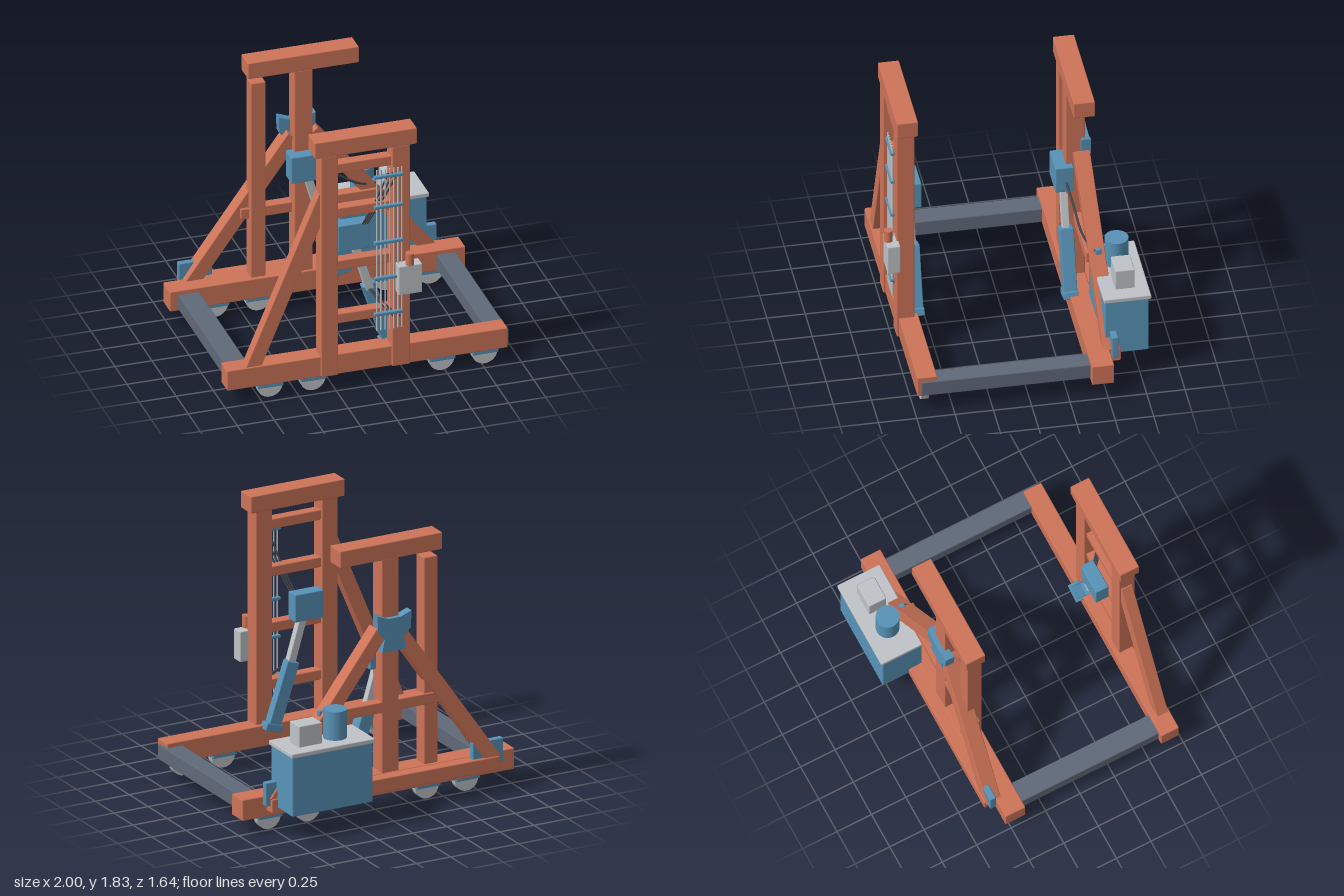
import * as THREE from 'three';
import { RoundedBoxGeometry } from 'three/addons/geometries/RoundedBoxGeometry.js';

const mat = (name, color) => {
  const m = new THREE.MeshStandardMaterial({ color });
  m.name = name;
  return m;
};

export function createModel() {
  const root = new THREE.Group();
  root.name = 'wheeledLiftingFrame';
  const orange = mat('orangePaint', 0xcd7458);
  const blue = mat('bluePaint', 0x5893b8);
  const grey = mat('lightGrey', 0xbfc3c7);
  const slate = mat('slateSteel', 0x606979);
  const dark = mat('hoseBlack', 0x45484d);

  const add = (name, geometry, material, parent = root) => {
    const mesh = new THREE.Mesh(geometry, material);
    mesh.name = name;
    parent.add(mesh);
    return mesh;
  };
  // Box given by its limits on each axis
  const box = (name, material, [x0, x1], [y0, y1], [z0, z1], parent = root) => {
    const r = Math.min(0.007, (x1 - x0) / 4, (y1 - y0) / 4, (z1 - z0) / 4);
    const m = add(name, new RoundedBoxGeometry(x1 - x0, y1 - y0, z1 - z0, 1, r), material, parent);
    m.position.set((x0 + x1) / 2, (y0 + y1) / 2, (z0 + z1) / 2);
    return m;
  };
  // Square bar running from a to b
  const strut = (name, material, a, b, width, depth, parent = root) => {
    const p = new THREE.Vector3(...a), q = new THREE.Vector3(...b);
    const m = add(name, new RoundedBoxGeometry(width, p.distanceTo(q), depth, 1, 0.006), material, parent);
    m.position.copy(p).add(q).multiplyScalar(0.5);
    m.quaternion.setFromUnitVectors(new THREE.Vector3(0, 1, 0), q.sub(p).normalize());
    return m;
  };
  const cyl = (name, material, r, h, x, y, z, parent = root, sides = 32) => {
    const m = add(name, new THREE.CylinderGeometry(r, r, h, sides), material, parent);
    m.position.set(x, y, z);
    return m;
  };
  const hose = (name, points, r, parent = root) => {
    const curve = new THREE.CatmullRomCurve3(points.map((p) => new THREE.Vector3(...p)));
    return add(name, new THREE.TubeGeometry(curve, 20, r, 6), dark, parent);
  };
  const group = (name) => {
    const g = new THREE.Group();
    g.name = name;
    root.add(g);
    return g;
  };

  // Base beams and cross ties
  box('frontBaseBeam', orange, [-0.98, 0.915], [0.11, 0.255], [0.6, 0.73]);
  box('backBaseBeam', orange, [-1, 0.995], [0.11, 0.255], [-0.54, -0.395]);
  box('rearSill', orange, [-0.85, 0.82], [0.155, 0.25], [-0.615, -0.52]);
  box('rightTie', slate, [-0.945, -0.8], [0.12, 0.225], [-0.46, 0.7]);
  box('leftTie', slate, [0.8, 0.93], [0.12, 0.225], [-0.46, 0.705]);

  // Wheels under both beams
  const wheels = group('wheels');
  for (const z of [0.668, -0.46]) {
    for (const x of [-0.68, -0.39, 0.48, 0.77]) {
      cyl('wheel', grey, 0.086, 0.05, x, 0.087, z, wheels).rotation.x = Math.PI / 2;
      box('wheelPlate', blue, [x - 0.088, x + 0.088], [0.08, 0.113], [z - 0.048, z + 0.048], wheels);
    }
  }

  // Front tower: two posts, cap, rungs, one brace
  const front = group('frontTower');
  box('post', orange, [-0.35, -0.235], [0.11, 1.715], [0.628, 0.744], front);
  box('post', orange, [0.13, 0.25], [0.11, 1.715], [0.628, 0.744], front);
  box('topBeam', orange, [-0.395, 0.295], [1.713, 1.83], [0.612, 0.75], front);
  for (const y of [0.507, 0.895, 1.278, 1.602]) {
    box('rung', orange, [-0.24, 0.135], [y - 0.035, y + 0.035], [0.645, 0.72], front);
  }
  strut('brace', orange, [-0.81, 0.22, 0.68], [-0.31, 1.42, 0.68], 0.1, 0.08, front);

  // Back tower: main post, side post, cap, rail, two splayed braces
  const back = group('backTower');
  box('mainPost', orange, [-0.155, -0.03], [0.11, 1.715], [-0.535, -0.41], back);
  box('sidePost', orange, [-0.445, -0.345], [0.2, 1.67], [-0.525, -0.42], back);
  box('topBeam', orange, [-0.47, 0.28], [1.713, 1.83], [-0.545, -0.405], back);
  box('rail', orange, [-0.5, 0.42], [0.665, 0.74], [-0.535, -0.46], back);
  strut('rightBrace', orange, [-0.83, 0.21, -0.555], [-0.14, 1.22, -0.507], 0.1, 0.105, back);
  strut('leftBrace', orange, [0.79, 0.22, -0.555], [-0.02, 1.23, -0.507], 0.095, 0.105, back);
  box('rightBracePlate', blue, [-0.89, -0.665], [0.2, 0.363], [-0.593, -0.55], back);
  box('leftBracePlate', blue, [0.63, 0.853], [0.2, 0.363], [-0.593, -0.55], back);
  // Waisted gusset where the braces meet
  const tie = new THREE.Shape([
    [-0.23, 1.345], [-0.15, 1.315], [-0.06, 1.315], [0.02, 1.345], [0.015, 1.23],
    [-0.035, 1.18], [-0.015, 1.09], [-0.19, 1.09], [-0.175, 1.18], [-0.225, 1.23],
  ].map((p) => new THREE.Vector2(...p)));
  add('gusset', new THREE.ExtrudeGeometry(tie, { depth: 0.062, bevelEnabled: false }), blue, back)
    .position.z = -0.567;

  // Pivot block and slanted ram on the inside of each tower
  const rams = [
    { name: 'frontRam', block: [0.538, 0.632], rod: 0.603, barrel: 0.59, depth: 0.065 },
    { name: 'backRam', block: [-0.455, -0.335], rod: -0.4, barrel: -0.402, depth: 0.09 },
  ];
  for (const { name, block, rod, barrel, depth } of rams) {
    const g = group(name);
    box('pivotBlock', blue, [-0.2, 0.012], [0.94, 1.13], block, g);
    strut('rod', grey, [-0.08, 0.97, rod], [0.02, 0.63, rod], 0.055, 0.05, g);
    strut('barrel', blue, [0.01, 0.665, barrel], [0.157, 0.225, barrel], 0.09, depth, g);
    strut('foot', blue, [0.145, 0.265, barrel], [0.16, 0.215, barrel], 0.125, depth + 0.008, g);
  }

  // Pipe bank with clamps and hoses
  const pipes = group('pipeBank');
  for (const x of [0.02, 0.048, 0.077, 0.106, 0.135, 0.163, 0.188]) {
    cyl('pipe', grey, 0.0055, 1.17, x, 0.985, 0.76, pipes, 8);
  }
  for (const y of [0.52, 0.78, 1.04, 1.3, 1.52]) {
    box('clamp', blue, [0, 0.197], [y - 0.011, y + 0.011], [0.747, 0.775], pipes);
  }
  for (let i = 0; i < 3; i++) {
    const x = 0.1 + i * 0.03;
    hose('upperHose', [[x, 1.54, 0.755], [x - 0.03, 1.45, 0.74], [0.02 + i * 0.02, 1.28, 0.69],
      [-0.04 + i * 0.015, 1.1, 0.62]], 0.006, pipes);
  }
  for (let i = 0; i < 2; i++) {
    hose('lowerHose', [[0.18 - i * 0.04, 0.48, 0.755], [0.12 - i * 0.03, 0.53, 0.73],
      [0.02 - i * 0.01, 0.64, 0.63]], 0.006, pipes);
  }

  // Control box with beacon
  box('controlBox', grey, [0.15, 0.31], [0.66, 0.87], [0.73, 0.815]);
  cyl('beacon', orange, 0.028, 0.085, 0.23, 0.91, 0.795);

  // Power unit with tank, lid, motor and valve box
  const unit = group('powerUnit');
  box('tank', blue, [0.185, 0.775], [0.185, 0.595], [-0.805, -0.52], unit);
  box('lid', grey, [0.175, 0.788], [0.59, 0.622], [-0.82, -0.51], unit);
  cyl('motor', blue, 0.077, 0.2, 0.385, 0.716, -0.665, unit);
  box('valveBox', grey, [0.515, 0.685], [0.615, 0.765], [-0.73, -0.603], unit);

  // Supply hose from the brace to the back pivot block
  box('hoseBracket', blue, [0.412, 0.442], [0.73, 0.77], [-0.558, -0.52]);
  hose('supplyHose', [[0.427, 0.75, -0.52], [0.3, 0.8, -0.46], [0.12, 0.92, -0.43], [-0.02, 1.04, -0.4]], 0.008);

  return root;
}
